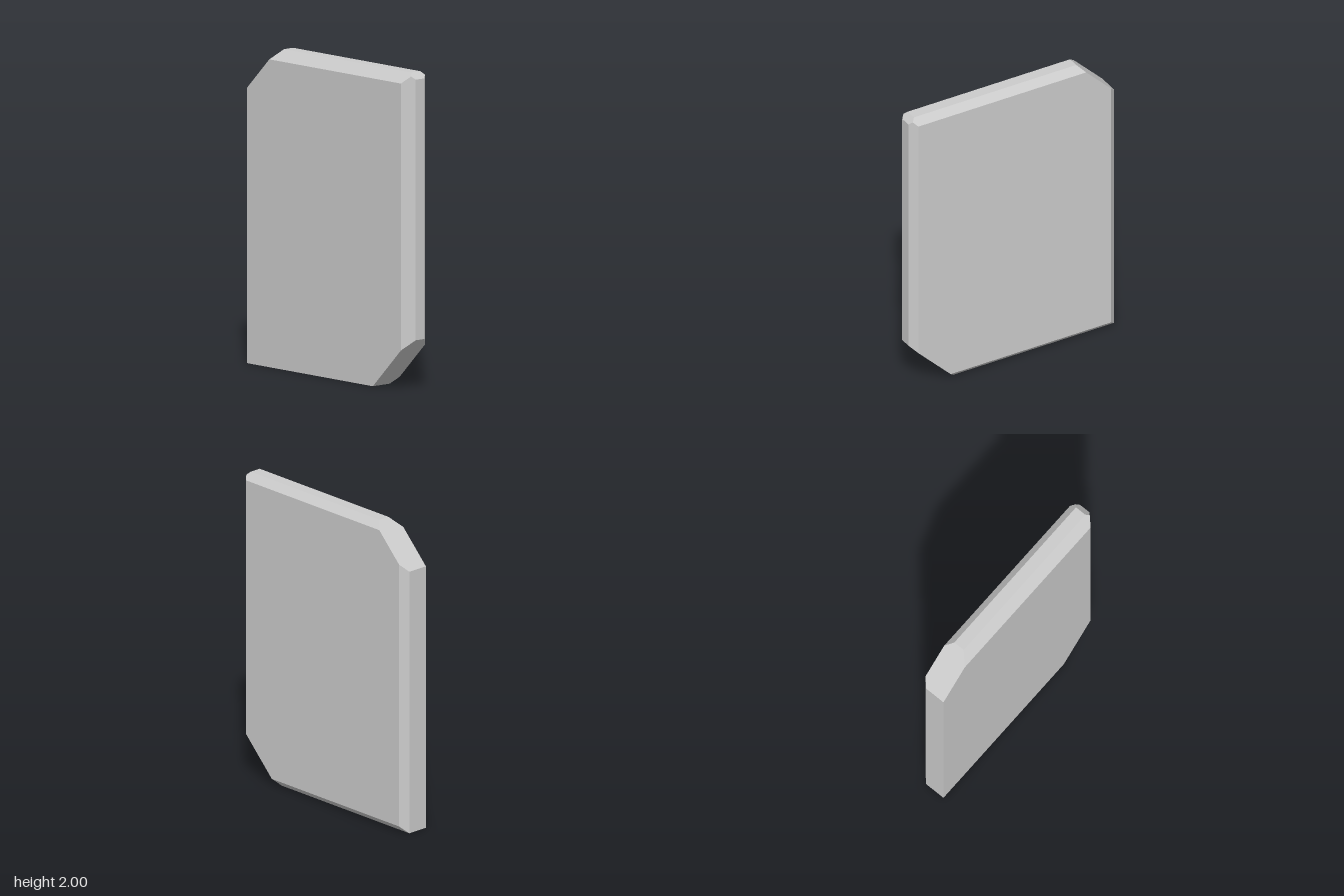
import * as THREE from 'three';
import { ConvexGeometry } from 'three/addons/geometries/ConvexGeometry.js';

// Each plane keeps the side where nx*x + ny*y + nz*z <= d.
const PLANES = [
  // slab
  [1, 0, 0, 0.09], [-1, 0, 0, 0.095],
  [0, 1, 0, 2], [0, -1, 0, 0],
  [0, 0, 1, 0.74], [0, 0, -1, 0.737],
  // small chamfers round the left face: top, bottom, front, back
  [1, 1, 0, 2.045], [1, -1, 0, 0.046], [1, 0, 1, 0.785], [1, 0, -1, 0.782],
  // wider chamfers on the right face: top and front only
  [-1, 1, 0, 2.03], [-1, 0, 1, 0.77],
  // big corner cuts: top back, bottom front; small cut: top front
  [0, 1, -1, 2.467], [0, -1, 1, 0.418], [0, 1, 1, 2.7],
];

// Corners of the solid: points where three planes meet inside all others.
function solidFromPlanes(planes) {
  const points = [];
  const m = new THREE.Matrix3();
  for (let i = 0; i < planes.length; i++)
    for (let j = i + 1; j < planes.length; j++)
      for (let k = j + 1; k < planes.length; k++) {
        const [a, b, c] = [planes[i], planes[j], planes[k]];
        m.set(a[0], a[1], a[2], b[0], b[1], b[2], c[0], c[1], c[2]);
        if (Math.abs(m.determinant()) < 1e-6) continue;
        const p = new THREE.Vector3(a[3], b[3], c[3]).applyMatrix3(m.invert());
        const inside = planes.every(([x, y, z, d]) => x * p.x + y * p.y + z * p.z <= d + 1e-6);
        if (inside && !points.some((q) => q.distanceTo(p) < 1e-5)) points.push(p);
      }
  return new ConvexGeometry(points);
}

export function createModel() {
  const group = new THREE.Group();
  group.name = 'chamferedPanel';
  const material = new THREE.MeshStandardMaterial({ color: 0xcccccc, flatShading: true });
  const slab = new THREE.Mesh(solidFromPlanes(PLANES), material);
  slab.name = 'slab';
  group.add(slab);
  return group;
}
